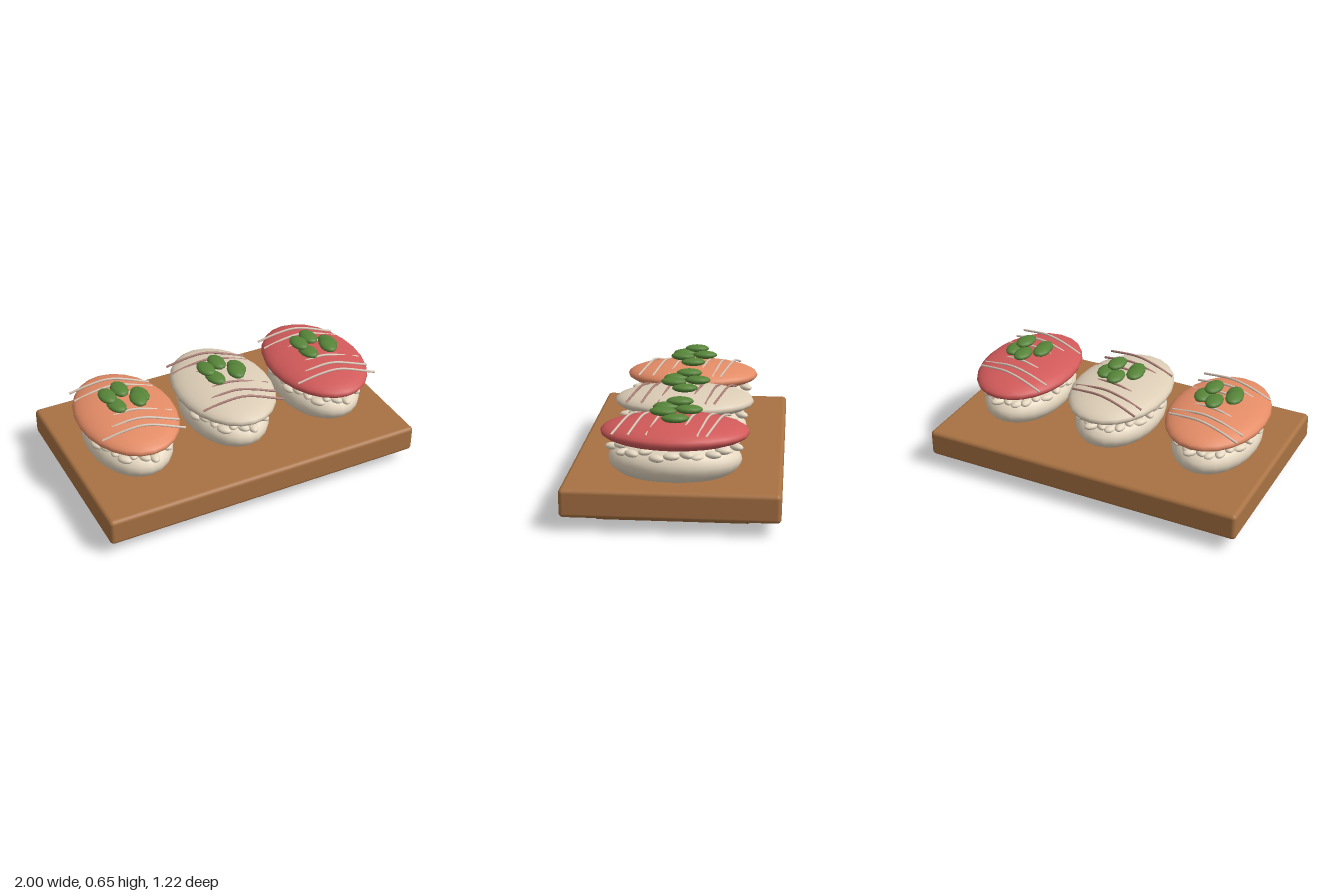
import * as THREE from 'three';
import { RoundedBoxGeometry } from 'three/addons/geometries/RoundedBoxGeometry.js';

const mat = (name, color) => {
  const m = new THREE.MeshStandardMaterial({ color });
  m.name = name;
  return m;
};

export function createModel() {
  const wood = mat('wood', 0xa87243);
  const rice = mat('rice', 0xe6d8c1);
  const salmon = mat('salmon', 0xe48c66);
  const whiteFish = mat('white fish', 0xdccdb6);
  const tuna = mat('tuna', 0xd25a5a);
  const paleFat = mat('pale fat', 0xdcc8b8);
  const pinkFat = mat('pink fat', 0xb08078);
  const leaf = mat('leaf', 0x568438);

  const model = new THREE.Group();
  model.name = 'sushiBoard';

  const add = (parent, name, geometry, material, x, y, z) => {
    const mesh = new THREE.Mesh(geometry, material);
    mesh.name = name;
    mesh.position.set(x, y, z);
    parent.add(mesh);
    return mesh;
  };

  // Serving board on two feet
  add(model, 'board', new RoundedBoxGeometry(2, 0.165, 1.22, 3, 0.025), wood, 0, 0.1625, 0);
  for (const s of [-1, 1]) {
    add(model, 'foot', new RoundedBoxGeometry(0.175, 0.12, 0.89, 3, 0.025), wood, s * 0.722, 0.06, 0);
  }

  const ball = new THREE.SphereGeometry(1, 24, 16);
  const smallBall = new THREE.SphereGeometry(1, 12, 8);

  // Fat lines arching over the fish: z at the left end, z at the right end
  const lines = [[-0.3, -0.19], [-0.215, -0.14], [-0.125, -0.045], [0.06, 0.14], [0.15, 0.24], [0.22, 0.33]]
    .map(([a, b]) => new THREE.TubeGeometry(new THREE.CatmullRomCurve3([
      new THREE.Vector3(-0.235, 0.515, a),
      new THREE.Vector3(-0.1, 0.556, a * 0.8 + b * 0.2),
      new THREE.Vector3(0.02, 0.571, a * 0.6 + b * 0.4),
      new THREE.Vector3(0.235, 0.525, b),
    ]), 16, 0.007, 6));

  // Garnish leaves: x, y, z, turn
  const leaves = [
    [-0.1, 0.63, -0.02, 0.05], [0, 0.612, -0.08, 0], [0.1, 0.588, -0.01, 0.1],
    [0.06, 0.615, 0.06, -0.1], [-0.075, 0.605, 0.055, 0.2],
  ];

  // One piece of sushi
  const piece = (name, x, fishMat, lineMat) => {
    const g = new THREE.Group();
    g.name = name;
    g.position.x = x;
    model.add(g);
    add(g, 'riceBed', ball, rice, 0, 0.33, 0).scale.set(0.25, 0.14, 0.38);
    add(g, 'fishSlice', ball, fishMat, 0, 0.487, 0).scale.set(0.292, 0.081, 0.422);

    // Loose grains around the rim of the rice
    const count = 26;
    for (let i = 0; i < count; i++) {
      const a = (i / count) * Math.PI * 2;
      const r = 0.93 + 0.06 * Math.sin(i * 2.3);
      const y = 0.403 + 0.015 * Math.sin(i * 4.1);
      const grain = add(g, 'riceGrain', smallBall, rice, 0.235 * r * Math.cos(a), y, 0.355 * r * Math.sin(a));
      grain.scale.set(0.029, 0.021, 0.047);
      grain.rotation.y = 0.7 * Math.sin(i * 3.7);
    }

    for (const geo of lines) add(g, 'fatLine', geo, lineMat, 0, 0, 0);

    for (const [lx, ly, lz, turn] of leaves) {
      const m = add(g, 'garnishLeaf', smallBall, leaf, lx, ly, lz);
      m.scale.set(0.051, 0.025, 0.078);
      m.rotation.y = turn;
    }
  };

  piece('salmonPiece', -0.635, salmon, paleFat);
  piece('whiteFishPiece', 0, whiteFish, pinkFat);
  piece('tunaPiece', 0.635, tuna, paleFat);

  return model;
}
